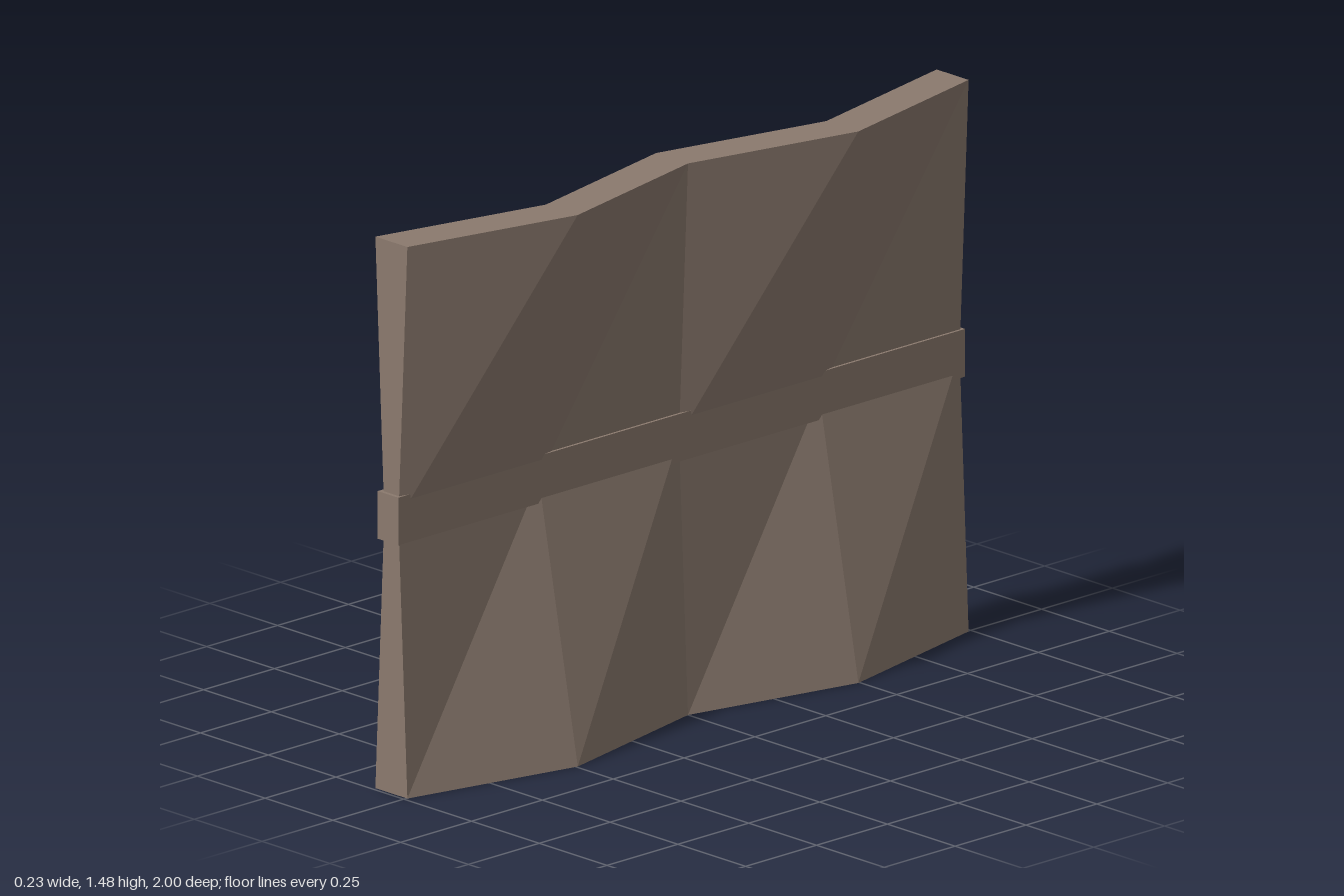
import * as THREE from 'three';

const LENGTH = 1.98, HEIGHT = 1.48, BAYS = 4;

// Corner of the panel: side 0 = -x, 1 = +x; i = column along z; r = row (0 foot, 1 waist, 2 top)
function corner(side, i, r) {
  const z = -LENGTH / 2 + (LENGTH * i) / BAYS;
  const y = (HEIGHT * r) / 2;
  if (r === 1) return [side ? -0.03 : -0.082, y, z]; // straight, thin waist
  const zigzag = i % 2 ? 0.111 : 0;
  return [(side ? 0.003 : -0.115) + zigzag, y, z];
}

function panelGeometry() {
  const positions = [];
  const quad = (a, b, c, d) => positions.push(...a, ...b, ...c, ...a, ...c, ...d);
  const P = corner;
  for (let r = 0; r < 2; r++) {
    // Folded side walls
    for (let i = 0; i < BAYS; i++) {
      quad(P(1, i + 1, r), P(1, i, r), P(1, i, r + 1), P(1, i + 1, r + 1));
      quad(P(0, i, r), P(0, i + 1, r), P(0, i + 1, r + 1), P(0, i, r + 1));
    }
    // End walls
    quad(P(0, BAYS, r), P(1, BAYS, r), P(1, BAYS, r + 1), P(0, BAYS, r + 1));
    quad(P(1, 0, r), P(0, 0, r), P(0, 0, r + 1), P(1, 0, r + 1));
  }
  // Zigzag top; the foot is open
  for (let i = 0; i < BAYS; i++) quad(P(0, i + 1, 2), P(1, i + 1, 2), P(1, i, 2), P(0, i, 2));

  const geometry = new THREE.BufferGeometry();
  geometry.setAttribute('position', new THREE.Float32BufferAttribute(positions, 3));
  geometry.computeVertexNormals();
  return geometry;
}

export function createModel() {
  const model = new THREE.Group();
  model.name = 'foldedWall';

  const clay = new THREE.MeshStandardMaterial({ color: 0x8b7a6e, flatShading: true, side: THREE.DoubleSide });
  clay.name = 'greyBrown';

  const panel = new THREE.Mesh(panelGeometry(), clay);
  panel.name = 'foldedPanel';
  model.add(panel);

  // Straight band around the waist
  const band = new THREE.Mesh(new THREE.BoxGeometry(0.076, 0.128, 2), clay);
  band.name = 'waistBand';
  band.position.set(-0.058, HEIGHT / 2, 0);
  model.add(band);

  return model;
}
